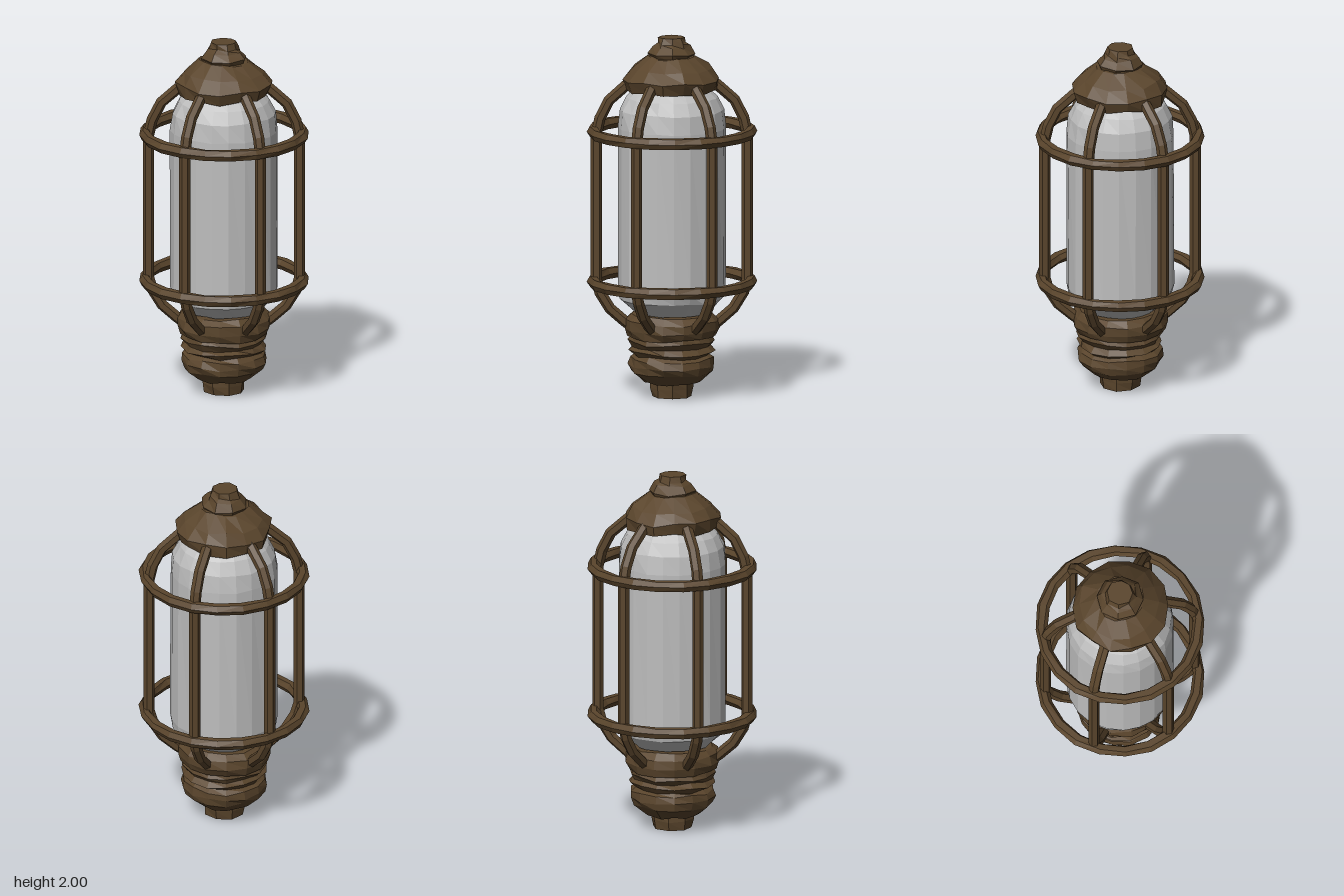
import * as THREE from 'three';

const metal = new THREE.MeshStandardMaterial({ color: 0x5a452c, flatShading: true });
metal.name = 'bronze metal';
const glass = new THREE.MeshStandardMaterial({ color: 0xbebebe, flatShading: true });
glass.name = 'pale glass';

// Position-based wobble, so coincident vertices always move together
function roughen(geometry, amount) {
  const p = geometry.attributes.position;
  const hash = (x, y, z, k) => {
    const s = Math.sin(Math.round(x * 500) * 12.9 + Math.round(y * 500) * 78.2 + Math.round(z * 500) * 37.7 + k) * 43758.5;
    return (s - Math.floor(s) - 0.5) * 2 * amount;
  };
  for (let i = 0; i < p.count; i++) {
    const x = p.getX(i), y = p.getY(i), z = p.getZ(i);
    const r = Math.hypot(x, z);
    if (r < 0.001) continue;
    const s = 1 + hash(x, y, z, 1) / r;
    p.setXYZ(i, x * s, y + (y > 0.02 && y < 1.98 ? hash(x, y, z, 5) : 0), z * s);
  }
  geometry.computeVertexNormals();
  return geometry;
}

// Turned part from [radius, height] pairs, bottom to top
function turned(name, profile, sides, material, wobble) {
  const points = profile.map(([r, y]) => new THREE.Vector2(r, y));
  const mesh = new THREE.Mesh(roughen(new THREE.LatheGeometry(points, sides), wobble), material);
  mesh.name = name;
  return mesh;
}

// Six-sided bar swept along a bent path of [radius, height] points
function barGeometry(path, halfWidth, sides = 6) {
  const pos = [], index = [];
  path.forEach(([x, y], i) => {
    const a = path[Math.max(i - 1, 0)], b = path[Math.min(i + 1, path.length - 1)];
    const t = new THREE.Vector2(b[0] - a[0], b[1] - a[1]).normalize();
    for (let j = 0; j < sides; j++) {
      const ang = (j / sides) * Math.PI * 2;
      const n = Math.cos(ang) * halfWidth, w = Math.sin(ang) * halfWidth;
      pos.push(x - t.y * n, y + t.x * n, w);
      if (i < path.length - 1) {
        const k = i * sides + j, k2 = i * sides + (j + 1) % sides;
        index.push(k, k2, k + sides, k2, k2 + sides, k + sides);
      }
    }
  });
  // End caps
  const last = (path.length - 1) * sides;
  for (let j = 1; j < sides - 1; j++) index.push(0, j + 1, j, last, last + j, last + j + 1);
  const g = new THREE.BufferGeometry();
  g.setAttribute('position', new THREE.Float32BufferAttribute(pos, 3));
  g.setIndex(index);
  g.computeVertexNormals();
  return g;
}

export function createModel() {
  const model = new THREE.Group();
  model.name = 'cagedLamp';

  // Glass bulb
  model.add(turned('glassBulb', [
    [0, 0.45], [0.2, 0.47], [0.285, 0.55], [0.297, 0.6], [0.297, 1.5],
    [0.285, 1.6], [0.25, 1.67], [0.2, 1.72], [0, 1.75],
  ], 20, glass, 0.004));

  // Domed cap with a stepped finial
  model.add(turned('topCap', [
    [0, 1.71], [0.25, 1.71], [0.265, 1.77], [0.22, 1.83], [0.13, 1.895], [0, 1.9],
  ], 14, metal, 0.011));
  model.add(turned('finial', [
    [0.11, 1.87], [0.128, 1.91], [0.1, 1.95], [0.08, 1.965], [0.075, 2], [0, 2],
  ], 8, metal, 0.009));

  // Collar, threaded socket and contact
  model.add(turned('baseCollar', [
    [0, 0.34], [0.245, 0.34], [0.262, 0.38], [0.258, 0.43], [0.225, 0.465], [0, 0.465],
  ], 14, metal, 0.006));
  model.add(turned('socketThread', [
    [0, 0.08], [0.15, 0.08], [0.225, 0.14], [0.236, 0.18], [0.232, 0.22], [0.205, 0.235],
    [0.236, 0.26], [0.212, 0.285], [0.238, 0.315], [0.225, 0.345], [0, 0.35],
  ], 14, metal, 0.008));
  model.add(turned('contact', [[0, 0], [0.11, 0], [0.118, 0.05], [0.12, 0.1], [0, 0.1]], 8, metal, 0.004));

  // Two cage hoops
  for (const [name, y] of [['upperHoop', 1.475], ['lowerHoop', 0.64]]) {
    const g = new THREE.TorusGeometry(0.435, 0.033, 6, 20);
    g.rotateX(Math.PI / 2);
    const hoop = new THREE.Mesh(roughen(g, 0.004), metal);
    hoop.name = name;
    hoop.position.y = y;
    model.add(hoop);
  }

  // Six bent cage bars
  const bar = barGeometry([
    [0.2, 1.775], [0.255, 1.73], [0.345, 1.65], [0.395, 1.55], [0.415, 1.46],
    [0.415, 0.65], [0.395, 0.58], [0.34, 0.49], [0.26, 0.42], [0.22, 0.39],
  ], 0.031);
  for (let i = 0; i < 6; i++) {
    const mesh = new THREE.Mesh(bar, metal);
    mesh.name = `cageBar${i + 1}`;
    mesh.rotation.y = Math.PI / 2 + (i * Math.PI) / 3;
    model.add(mesh);
  }
  return model;
}
